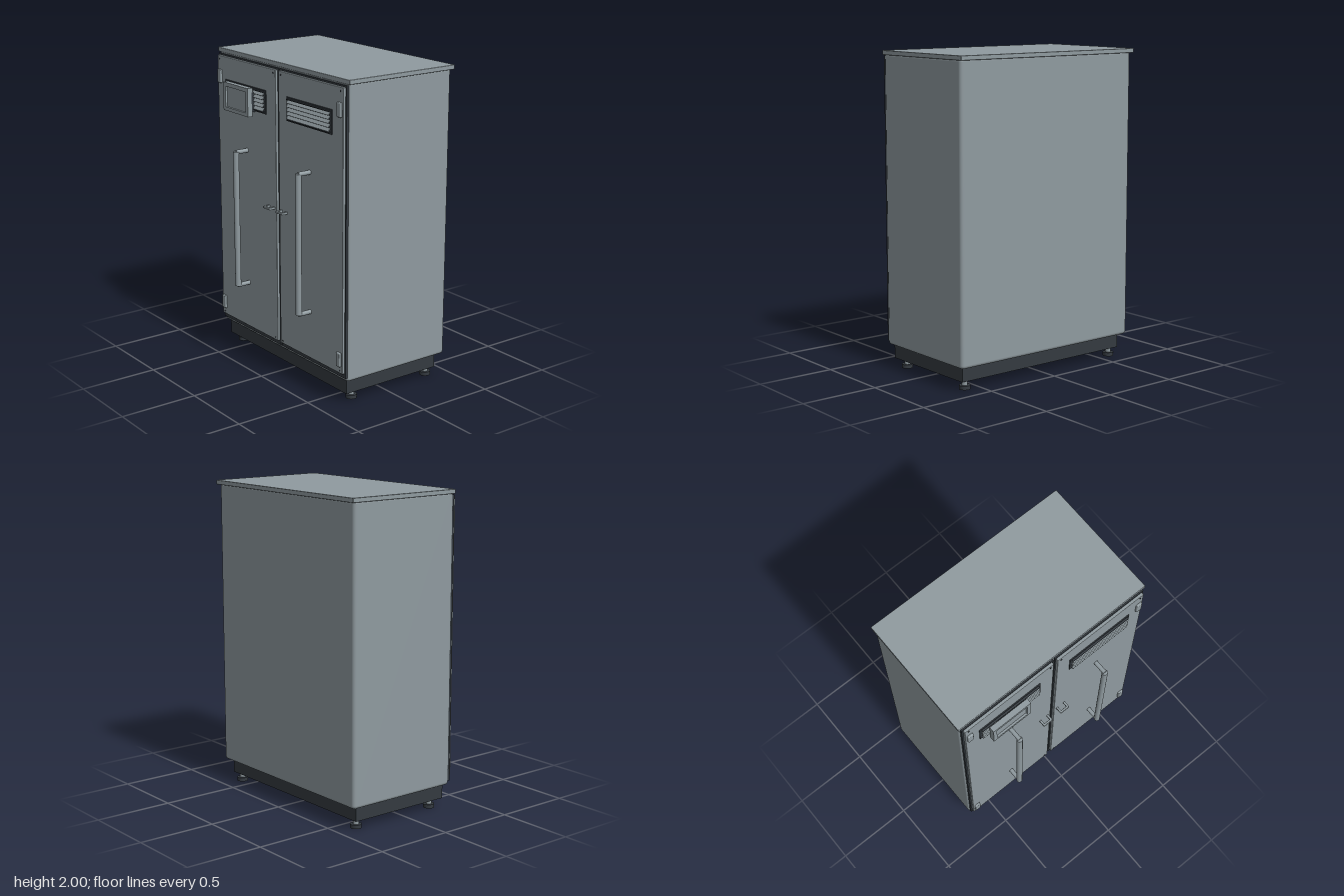
import * as THREE from 'three';
import { RoundedBoxGeometry } from 'three/addons/geometries/RoundedBoxGeometry.js';

export function createModel() {
  const root = new THREE.Group();
  root.name = 'cabinet';
  const grey = new THREE.MeshStandardMaterial({ color: 0x8f9a9f });
  grey.name = 'grey steel';
  const dark = new THREE.MeshStandardMaterial({ color: 0x343a40 });
  dark.name = 'dark rubber';

  const add = (name, geometry, material, parent = root) => {
    const mesh = new THREE.Mesh(geometry, material);
    mesh.name = name;
    parent.add(mesh);
    return mesh;
  };
  // Box given by its limits; a radius rounds its edges.
  const box = (name, [x0, x1], [y0, y1], [z0, z1], material, parent = root, radius = 0) => {
    const size = [Math.abs(x1 - x0), y1 - y0, z1 - z0];
    const geometry = radius
      ? new RoundedBoxGeometry(...size, 3, radius)
      : new THREE.BoxGeometry(...size);
    const mesh = add(name, geometry, material, parent);
    mesh.position.set((x0 + x1) / 2, (y0 + y1) / 2, (z0 + z1) / 2);
    return mesh;
  };
  const rod = (name, radius, length, x, y, z, material, parent = root, alongZ = false) => {
    const mesh = add(name, new THREE.CylinderGeometry(radius, radius, length, 20), material, parent);
    mesh.position.set(x, y, z);
    if (alongZ) mesh.rotation.x = Math.PI / 2;
    return mesh;
  };

  // Body, lid and plinth
  box('body', [-0.675, 0.675], [0.147, 1.985], [-0.442, 0.332], grey, root, 0.022);
  box('lid', [-0.685, 0.685], [1.972, 2.0], [-0.46, 0.335], grey, root, 0.004);
  box('plinth', [-0.638, 0.638], [0.055, 0.155], [-0.394, 0.31], dark);

  // Levelling feet
  for (const x of [-0.592, 0.592]) for (const z of [-0.357, 0.238]) {
    rod('footPad', 0.035, 0.024, x, 0.012, z, dark);
    rod('footStem', 0.018, 0.035, x, 0.04, z, grey);
  }

  // Two mirrored doors with all their fittings
  for (const s of [-1, 1]) {
    const door = new THREE.Group();
    door.name = s < 0 ? 'rightDoor' : 'leftDoor';
    root.add(door);
    const span = (a, b) => [s * a, s * b];

    box('gasket', span(0.006, 0.668), [0.172, 1.966], [0.315, 0.341], dark, door);
    box('doorPanel', span(0.015, 0.658), [0.202, 1.955], [0.338, 0.358], grey, door, 0.004);

    // Hinges and corner screws
    for (const [y0, y1] of [[0.246, 0.336], [1.78, 1.867]])
      box('hinge', span(0.608, 0.647), [y0, y1], [0.35, 0.372], grey, door, 0.006);
    for (const x of [0.04, 0.633]) for (const y of [0.22, 1.933])
      rod('screw', 0.005, 0.006, s * x, y, 0.358, dark, door, true);

    // Louvred vent
    const vx = s < 0 ? [-0.562, -0.114] : [0.108, 0.556];
    const inner = [vx[0] + 0.014, vx[1] - 0.014];
    box('ventPlate', vx, [1.664, 1.812], [0.354, 0.364], dark, door);
    box('ventRimTop', inner, [1.797, 1.803], [0.362, 0.376], dark, door);
    box('ventRimBottom', inner, [1.673, 1.679], [0.362, 0.376], dark, door);
    for (let i = 0; i < 5; i++) {
      const y = 1.69 + i * 0.024;
      const slat = box('ventSlat', inner, [y - 0.011, y + 0.011], [0.368, 0.372], grey, door);
      slat.rotation.x = -0.6;
    }

    // Long pull handle on two standoffs
    rod('handleBar', 0.019, 0.89, s * 0.334, 0.95, 0.444, grey, door);
    for (const y of [0.508, 1.392])
      rod('handlePost', 0.014, 0.09, s * 0.334, y, 0.4, grey, door, true);

    // Small latch pull
    box('latchBar', span(0.033, 0.102), [1.075, 1.089], [0.388, 0.403], grey, door, 0.004);
    for (const x of [0.033, 0.089])
      box('latchLeg', span(x, x + 0.013), [1.075, 1.089], [0.355, 0.395], grey, door);
  }

  // Control panel: bracket, bezel frame and recessed screen
  const panel = new THREE.Group();
  panel.name = 'controlPanel';
  root.add(panel);
  box('panelBracket', [-0.445, -0.23], [1.66, 1.785], [0.36, 0.388], dark, panel);
  box('panelBack', [-0.503, -0.232], [1.634, 1.81], [0.383, 0.405], grey, panel);
  const bezel = new THREE.Shape();
  bezel.moveTo(-0.505, 1.632).lineTo(-0.23, 1.632).lineTo(-0.23, 1.812).lineTo(-0.505, 1.812);
  const opening = new THREE.Path();
  opening.moveTo(-0.48, 1.655).lineTo(-0.48, 1.787).lineTo(-0.255, 1.787).lineTo(-0.255, 1.655);
  bezel.holes.push(opening);
  add('panelBezel', new THREE.ExtrudeGeometry(bezel, { depth: 0.036, bevelEnabled: false }), grey, panel)
    .position.z = 0.382;

  return root;
}
